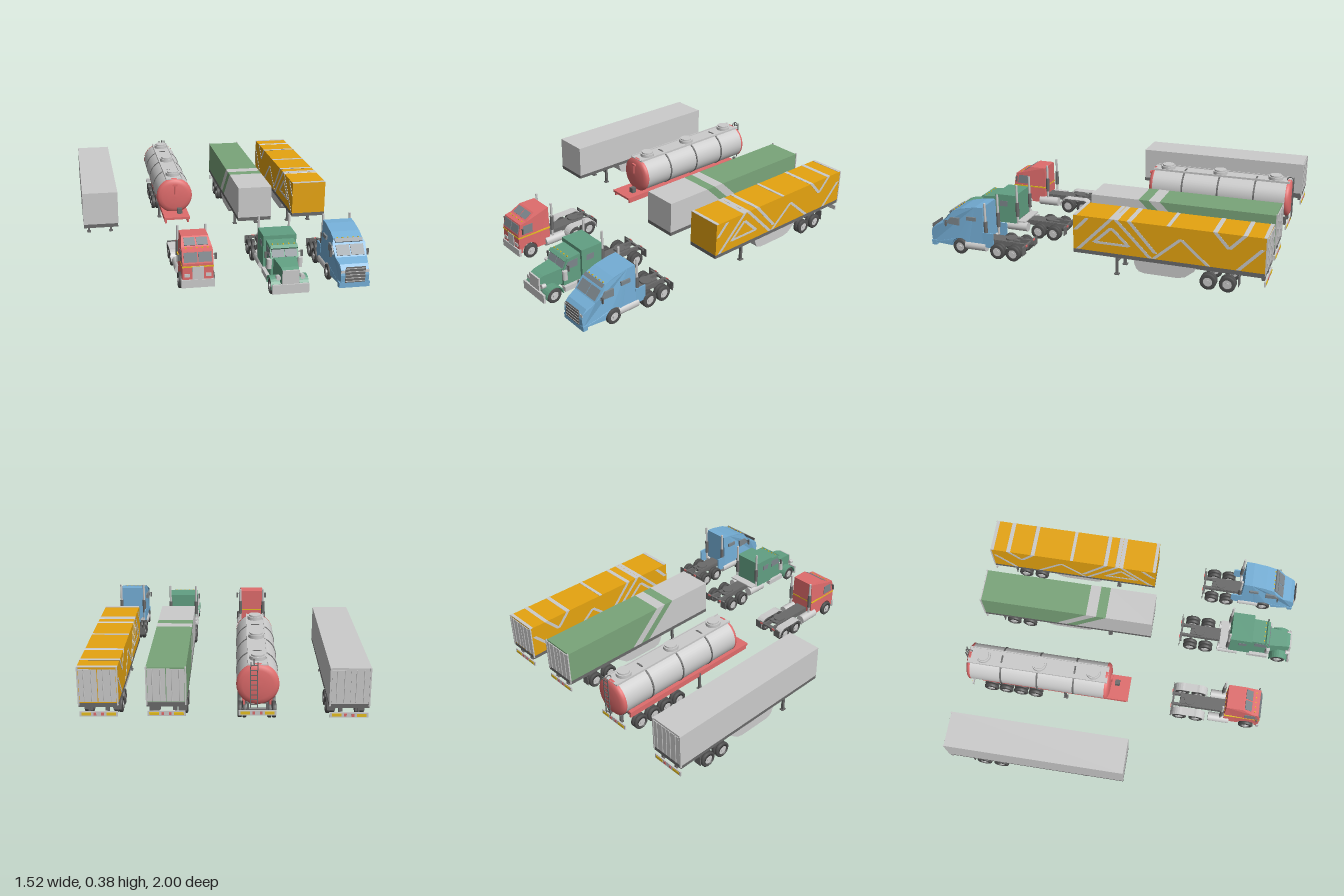
import * as THREE from 'three';

const GREY = 0xcccccc, DARK = 0x6a6a6a, TIRE = 0x505050, GLASS = 0x7d868c, YELLOW = 0xe8c020;
const RED = 0xe06c6c, GREEN = 0x62a083, BLUE = 0x74aed6, ORANGE = 0xe6a410, SAGE = 0x7aa57a;
const mats = {};
const mat = c => (mats[c] ??= new THREE.MeshStandardMaterial({ color: c }));

function add(g, name, geo, color) {
  const m = new THREE.Mesh(geo, mat(color));
  m.name = name;
  g.add(m);
  return m;
}
const box = (g, name, c, w, h, d, x, y, z) =>
  add(g, name, new THREE.BoxGeometry(w, h, d), c).position.set(x, y, z);

function cyl(g, name, c, r, len, axis, x, y, z, seg = 20) {
  const geo = new THREE.CylinderGeometry(r, r, len, seg);
  if (axis === 'x') geo.rotateZ(Math.PI / 2);
  if (axis === 'z') geo.rotateX(Math.PI / 2);
  add(g, name, geo, c).position.set(x, y, z);
}

// Side outline of [z, y] points extruded across x; taper(z, y) scales the width
function prism(g, name, c, pts, w, taper, x = 0) {
  const shape = new THREE.Shape(pts.map(p => new THREE.Vector2(p[0], p[1])));
  const geo = new THREE.ExtrudeGeometry(shape, { depth: w, bevelEnabled: false });
  geo.rotateY(-Math.PI / 2).translate(w / 2, 0, 0);
  if (taper) {
    const p = geo.attributes.position;
    for (let i = 0; i < p.count; i++) p.setX(i, p.getX(i) * taper(p.getZ(i), p.getY(i)));
    geo.computeVertexNormals();
  }
  add(g, name, geo, c).position.x = x;
}

// Thin plate lying on an outline edge from lower point a to upper point b
function panel(g, name, c, a, b, w, x = 0, t = 0.004) {
  const dz = b[0] - a[0], dy = b[1] - a[1], l = Math.hypot(dz, dy), nz = dy / l * t, ny = -dz / l * t;
  prism(g, name, c, [a, b, [b[0] + nz, b[1] + ny], [a[0] + nz, a[1] + ny]], w, null, x);
}

const arch = (z, r, n = 12) => Array.from({ length: n + 1 }, (_, i) =>
  [z + r * Math.cos(Math.PI * i / n), 0.045 + r * Math.sin(Math.PI * i / n)]);

const tireGeo = new THREE.LatheGeometry([[0.026, -0.011], [0.04, -0.011], [0.045, -0.007], [0.045, 0.007],
  [0.04, 0.011], [0.026, 0.011], [0.026, -0.011]].map(p => new THREE.Vector2(...p)), 24).rotateZ(Math.PI / 2);

function axle(g, z, dual) {
  cyl(g, 'axle', DARK, 0.008, 0.18, 'x', 0, 0.045, z, 10);
  for (const s of [-1, 1]) {
    for (const x of dual ? [0.067, 0.092] : [0.088]) {
      add(g, 'tire', tireGeo, TIRE).position.set(s * x, 0.045, z);
      cyl(g, 'rim', GREY, 0.0265, 0.014, 'x', s * x, 0.045, z);
    }
    cyl(g, 'hub', GREY, 0.011, 0.014, 'x', s * 0.096, 0.045, z, 12);
  }
}

function rearBumper(g, z) {
  box(g, 'rearBumper', GREY, 0.2, 0.028, 0.008, 0, 0.075, z);
  for (const s of [-1, 1]) {
    box(g, 'reflector', YELLOW, 0.05, 0.016, 0.003, s * 0.065, 0.075, z - 0.005);
    box(g, 'tailLamp', RED, 0.014, 0.016, 0.003, s * 0.02, 0.075, z - 0.005);
    box(g, 'bumperBracket', DARK, 0.01, 0.05, 0.02, s * 0.05, 0.1, z + 0.015);
  }
}

function landingLegs(g, z, top) {
  for (const s of [-1, 1]) {
    box(g, 'landingLeg', DARK, 0.014, top, 0.014, s * 0.07, top / 2, z);
    box(g, 'landingFoot', DARK, 0.024, 0.006, 0.028, s * 0.07, 0.003, z);
  }
  box(g, 'legBrace', DARK, 0.14, 0.008, 0.008, 0, 0.075, z);
}

// Box trailer running gear, floor, doors and underbody fairing
function trailerBase(g, front, back, axles) {
  const len = front - back, mid = (front + back) / 2;
  box(g, 'floorFrame', DARK, 0.208, 0.022, len, 0, 0.126, mid);
  for (const s of [-1, 1]) {
    box(g, 'subframeRail', DARK, 0.014, 0.03, 0.42, s * 0.04, 0.1, back + 0.23);
    box(g, 'rearDoor', GREY, 0.094, 0.18, 0.005, s * 0.049, 0.234, back);
    for (const x of [0.03, 0.07]) cyl(g, 'lockRod', GREY, 0.0025, 0.18, 'y', s * x, 0.234, back - 0.004, 8);
    box(g, 'doorPost', GREY, 0.008, 0.21, 0.008, s * 0.102, 0.23, back);
    box(g, 'mudFlap', DARK, 0.045, 0.06, 0.004, s * 0.078, 0.07, axles.at(-1) - 0.06);
  }
  box(g, 'kingpinPlate', DARK, 0.12, 0.008, 0.14, 0, 0.112, front - 0.12);
  prism(g, 'underFairing', GREY, [[-0.27, 0.115], [-0.275, 0.085], [-0.285, 0.06], [-0.3, 0.043], [-0.33, 0.035],
    [-0.52, 0.035], [-0.56, 0.045], [-0.61, 0.085], [-0.625, 0.115]], 0.168);
  landingLegs(g, -0.17, 0.116);
  axles.forEach(z => axle(g, z, true));
  rearBumper(g, back + 0.002);
}

function tractorChassis(g, back, front, axles, color) {
  for (const s of [-1, 1]) {
    box(g, 'chassisRail', DARK, 0.014, 0.028, front - back, s * 0.033, 0.075, (front + back) / 2);
    cyl(g, 'fuelTank', GREY, 0.028, 0.13, 'z', s * 0.074, 0.058, axles[0] + 0.14);
    box(g, 'rearFlap', DARK, 0.048, 0.05, 0.004, s * 0.078, 0.065, back + 0.004);
    box(g, 'tailLamp', RED, 0.02, 0.01, 0.005, s * 0.05, 0.085, back);
  }
  box(g, 'chassisDeck', DARK, 0.078, 0.006, front - axles[1], 0, 0.089, (front + axles[1]) / 2);
  box(g, 'crossmember', DARK, 0.16, 0.012, 0.012, 0, 0.08, back + 0.01);
  const mid = (axles[0] + axles[1]) / 2;
  cyl(g, 'couplingPlate', DARK, 0.035, 0.01, 'y', 0, 0.1, mid, 24);
  for (const s of [-1, 1]) box(g, 'couplingRamp', DARK, 0.02, 0.01, 0.04, s * 0.02, 0.096, mid - 0.04);
  axles.forEach(z => axle(g, z, true));
}

function stacksAndMirrors(g, sx, sz, top, mx, my, mz) {
  for (const s of [-1, 1]) {
    cyl(g, 'exhaustStack', GREY, 0.007, top - 0.08, 'y', s * sx, (top + 0.08) / 2, sz, 12);
    cyl(g, 'muffler', DARK, 0.011, 0.09, 'y', s * sx, 0.17, sz, 14);
    box(g, 'mirror', DARK, 0.012, 0.035, 0.007, s * mx, my, mz);
    box(g, 'mirrorArm', DARK, 0.03, 0.003, 0.003, s * (mx - 0.015), my + 0.01, mz);
  }
}

function lamps(g, n, y, z, span) {
  for (let i = 0; i < n; i++) box(g, 'markerLamp', YELLOW, 0.007, 0.005, 0.006, (i / (n - 1) - 0.5) * span, y, z);
}

function redTractor(g) {
  tractorChassis(g, 0.29, 0.82, [0.455, 0.35], RED);
  axle(g, 0.77, false);
  prism(g, 'cab', RED, [[0.625, 0.045], [0.625, 0.28], [0.725, 0.28], [0.785, 0.24], [0.825, 0.233], [0.842, 0.165],
    [0.842, 0.045], ...arch(0.77, 0.052)], 0.168, (z, y) => (y > 0.25 ? 0.88 : 1));
  for (const s of [-1, 1]) {
    panel(g, 'windshield', GLASS, [0.84, 0.173], [0.827, 0.225], 0.072, s * 0.039);
    panel(g, 'roofWindow', GLASS, [0.778, 0.245], [0.735, 0.274], 0.06, s * 0.034, 0.003);
    box(g, 'headlight', GREY, 0.03, 0.018, 0.006, s * 0.058, 0.1, 0.844);
    prism(g, 'rearFender', GREY, [...arch(0.455, 0.055).slice(0, 8), ...arch(0.35, 0.055).slice(5),
      ...arch(0.35, 0.051).slice(5).reverse(), ...arch(0.455, 0.051).slice(0, 8).reverse()], 0.05, null, s * 0.08);
  }
  prism(g, 'sideWindow', GLASS, [[0.745, 0.165], [0.745, 0.22], [0.808, 0.22], [0.818, 0.165]], 0.171);
  box(g, 'stripe', YELLOW, 0.171, 0.008, 0.22, 0, 0.148, 0.734);
  box(g, 'grille', GREY, 0.062, 0.075, 0.008, 0, 0.112, 0.843);
  box(g, 'frontBumper', GREY, 0.18, 0.045, 0.016, 0, 0.052, 0.842);
  lamps(g, 5, 0.24, 0.8, 0.12);
  stacksAndMirrors(g, 0.078, 0.605, 0.3, 0.1, 0.195, 0.82);
}

function greenTractor(g) {
  tractorChassis(g, 0.28, 0.97, [0.455, 0.355], GREEN);
  axle(g, 0.925, false);
  box(g, 'sleeper', GREEN, 0.186, 0.18, 0.135, 0, 0.167, 0.668);
  prism(g, 'cab', GREEN, [[0.735, 0.06], [0.735, 0.235], [0.82, 0.228], [0.85, 0.168], [0.85, 0.06]], 0.155);
  panel(g, 'sunVisor', GREEN, [0.836, 0.215], [0.818, 0.228], 0.15, 0, 0.01);
  for (const s of [-1, 1]) {
    panel(g, 'windshield', GLASS, [0.848, 0.174], [0.828, 0.213], 0.066, s * 0.036);
    prism(g, 'frontFender', GREEN, [...arch(0.925, 0.058), ...arch(0.925, 0.052).reverse()], 0.05, null, s * 0.078);
    cyl(g, 'headlight', GREY, 0.013, 0.025, 'z', s * 0.066, 0.113, 0.975, 16);
    cyl(g, 'airCleaner', GREY, 0.015, 0.055, 'y', s * 0.085, 0.14, 0.845, 16);
    box(g, 'cabStep', GREY, 0.03, 0.03, 0.13, s * 0.082, 0.055, 0.79);
    box(g, 'sleeperWindow', GLASS, 0.003, 0.035, 0.05, s * 0.093, 0.2, 0.68);
  }
  prism(g, 'sideWindow', GLASS, [[0.755, 0.165], [0.755, 0.212], [0.818, 0.21], [0.838, 0.165]], 0.158);
  prism(g, 'hood', GREEN, [[0.83, 0.075], [0.83, 0.176], [0.96, 0.163], [0.985, 0.153], [0.985, 0.075]], 0.13,
    z => 1 - (z - 0.83) * 2);
  box(g, 'grille', GREY, 0.092, 0.085, 0.01, 0, 0.112, 0.986);
  box(g, 'frontBumper', GREY, 0.2, 0.052, 0.012, 0, 0.052, 0.992);
  box(g, 'rearDeck', GREY, 0.19, 0.008, 0.05, 0, 0.094, 0.565);
  lamps(g, 5, 0.236, 0.81, 0.12);
  stacksAndMirrors(g, 0.088, 0.592, 0.325, 0.1, 0.185, 0.83);
}

function blueTractor(g) {
  tractorChassis(g, 0.385, 0.95, [0.55, 0.452], BLUE);
  axle(g, 0.79, false);
  const nose = (z, y) => (z > 0.95 ? 0.84 : z > 0.9 ? 0.95 : 1) * (y > 0.24 ? 0.88 : 1);
  prism(g, 'cab', BLUE, [[0.64, 0.045], [0.64, 0.297], [0.69, 0.295], [0.78, 0.277], [0.835, 0.255], [0.855, 0.235],
    [0.905, 0.175], [0.955, 0.155], [0.978, 0.13], [0.985, 0.1], [0.98, 0.045], ...arch(0.79, 0.054)], 0.186, nose);
  for (const s of [-1, 1]) {
    panel(g, 'windshield', GLASS, [0.9, 0.181], [0.86, 0.229], 0.074, s * 0.04);
    box(g, 'sideFairing', BLUE, 0.008, 0.09, 0.066, s * 0.088, 0.105, 0.608);
    box(g, 'headlight', GREY, 0.024, 0.026, 0.02, s * 0.066, 0.115, 0.972);
    box(g, 'cabStep', GREY, 0.012, 0.02, 0.09, s * 0.091, 0.055, 0.69);
  }
  panel(g, 'sunVisor', GLASS, [0.853, 0.24], [0.837, 0.256], 0.155, 0, 0.008);
  panel(g, 'grille', DARK, [0.985, 0.062], [0.985, 0.15], 0.11, 0, 0.005);
  for (let i = 0; i < 5; i++) box(g, 'grilleBar', GREY, 0.11, 0.003, 0.004, 0, 0.07 + i * 0.018, 0.99);
  prism(g, 'sideWindow', GLASS, [[0.79, 0.175], [0.79, 0.22], [0.845, 0.22], [0.875, 0.18]], 0.189);
  box(g, 'sleeperWindow', GLASS, 0.189, 0.022, 0.06, 0, 0.225, 0.71);
  box(g, 'frontBumper', BLUE, 0.17, 0.03, 0.03, 0, 0.045, 0.968);
  lamps(g, 5, 0.26, 0.832, 0.12);
  stacksAndMirrors(g, 0.078, 0.625, 0.325, 0.104, 0.185, 0.87);
}

function greyTrailer(g) {
  trailerBase(g, 0.073, -0.995, [-0.69, -0.795]);
  box(g, 'cargoBody', GREY, 0.212, 0.198, 1.066, 0, 0.236, -0.461);
}

function greenTrailer(g) {
  trailerBase(g, 0.1, -0.985, [-0.7, -0.805]);
  // Slanted colour bands that together form the cargo body
  const cuts = [-0.19, -0.25, -0.315];
  const edge = [[0.1, 0.1], ...cuts.map(z => [z, z - 0.2]), [-0.98, -0.98]];
  for (let i = 0; i < 4; i++) {
    const [a, b] = [edge[i], edge[i + 1]];
    prism(g, 'cargoBand', i % 2 ? SAGE : GREY, [[a[0], 0.33], [b[0], 0.33], [b[1], 0.137], [a[1], 0.137]], 0.208);
  }
}

function orangeTrailer(g) {
  trailerBase(g, 0.073, -0.995, [-0.69, -0.795]);
  box(g, 'cargoBody', ORANGE, 0.21, 0.198, 1.066, 0, 0.236, -0.461);
  // Zigzag stripes: z1, y1, z2, y2; those reaching the roof also cross it
  const T = 0.3365, B = 0.139;
  for (const [z1, y1, z2, y2] of [[-0.15, T, 0.045, B], [-0.175, T, -0.37, B], [-0.25, T, -0.4, 0.17],
    [-0.39, B, -0.54, 0.27], [-0.54, 0.27, -0.69, B], [-0.722, T, -0.8, 0.25], [-0.882, T, -0.8, 0.25],
    [-0.85, B, -0.975, 0.27], [-0.01, 0.325, 0.06, 0.25], [-0.15, 0.285, -0.05, 0.19], [-0.15, 0.285, -0.25, 0.19]])
    prism(g, 'stripe', GREY, [[z1 - 0.012, y1], [z1 + 0.012, y1], [z2 + 0.012, y2], [z2 - 0.012, y2]], 0.2125);
  box(g, 'stripeBase', GREY, 0.2125, 0.014, 0.2, 0, 0.192, -0.15);
  for (const z of [-0.47, 0.062, -0.986]) box(g, 'roofStripe', GREY, 0.21, 0.003, 0.02, 0, 0.3355, z);
}

function tankerTrailer(g) {
  const Y = 0.235, R = 0.11;
  cyl(g, 'tankShell', GREY, R, 0.84, 'z', 0, Y, -0.54, 48);
  for (const s of [-1, 1]) {
    const pts = [[R + 0.002, 0], [R + 0.002, 0.012], [0.1, 0.022], [0.08, 0.028], [0.04, 0.032], [0, 0.033]];
    const cap = add(g, 'tankEnd', new THREE.LatheGeometry(pts.map(p => new THREE.Vector2(...p)), 48).rotateX(s * Math.PI / 2), RED);
    cap.position.set(0, Y, -0.54 + s * 0.415);
    box(g, 'walkwayRail', GREY, 0.005, 0.012, 0.86, s * 0.05, 0.345, -0.54);
    box(g, 'ladderSide', DARK, 0.005, 0.25, 0.005, s * 0.018 + 0.02, 0.24, -0.99);
    box(g, 'sideFrame', RED, 0.012, 0.03, 0.92, s * 0.07, 0.11, -0.45);
  }
  for (const z of [-0.315, -0.54, -0.765]) cyl(g, 'tankBand', DARK, R + 0.003, 0.01, 'z', 0, Y, z, 48);
  for (let i = 0; i < 9; i++) box(g, 'ladderRung', DARK, 0.036, 0.004, 0.004, 0.02, 0.13 + i * 0.027, -0.99);
  const hoop = add(g, 'ladderHoop', new THREE.TorusGeometry(0.02, 0.003, 8, 16, Math.PI).rotateY(Math.PI / 2), DARK);
  hoop.position.set(0.02, 0.352, -0.972);
  box(g, 'walkway', GREY, 0.1, 0.006, 0.86, 0, 0.342, -0.54);
  for (const z of [-0.2, -0.535, -0.88]) {
    cyl(g, 'hatch', GREY, 0.044, 0.028, 'y', 0, 0.35, z, 28);
    cyl(g, 'hatchLid', GREY, 0.036, 0.01, 'y', 0, 0.368, z, 28);
  }
  box(g, 'framePlate', RED, 0.16, 0.014, 0.93, 0, 0.126, -0.445);
  box(g, 'pumpBox', DARK, 0.03, 0.035, 0.03, 0.025, 0.148, -0.06);
  cyl(g, 'frontPipe', RED, 0.006, 0.06, 'y', 0, 0.28, -0.088, 10);
  box(g, 'pipeHead', RED, 0.03, 0.012, 0.012, 0, 0.31, -0.088);
  landingLegs(g, -0.38, 0.12);
  [-0.57, -0.665, -0.76, -0.855].forEach(z => axle(g, z, true));
  rearBumper(g, -0.97);
}

export function createModel() {
  const root = new THREE.Group();
  for (const [name, x, build] of [['greyTrailer', -0.659, greyTrailer], ['tankerTrailer', -0.183, tankerTrailer],
    ['greenTrailer', 0.292, greenTrailer], ['orangeTrailer', 0.645, orangeTrailer], ['redTractor', -0.181, redTractor],
    ['greenTractor', 0.292, greenTractor], ['blueTractor', 0.647, blueTractor]]) {
    const g = new THREE.Group();
    g.name = name;
    g.position.x = x;
    build(g);
    root.add(g);
  }
  return root;
}
